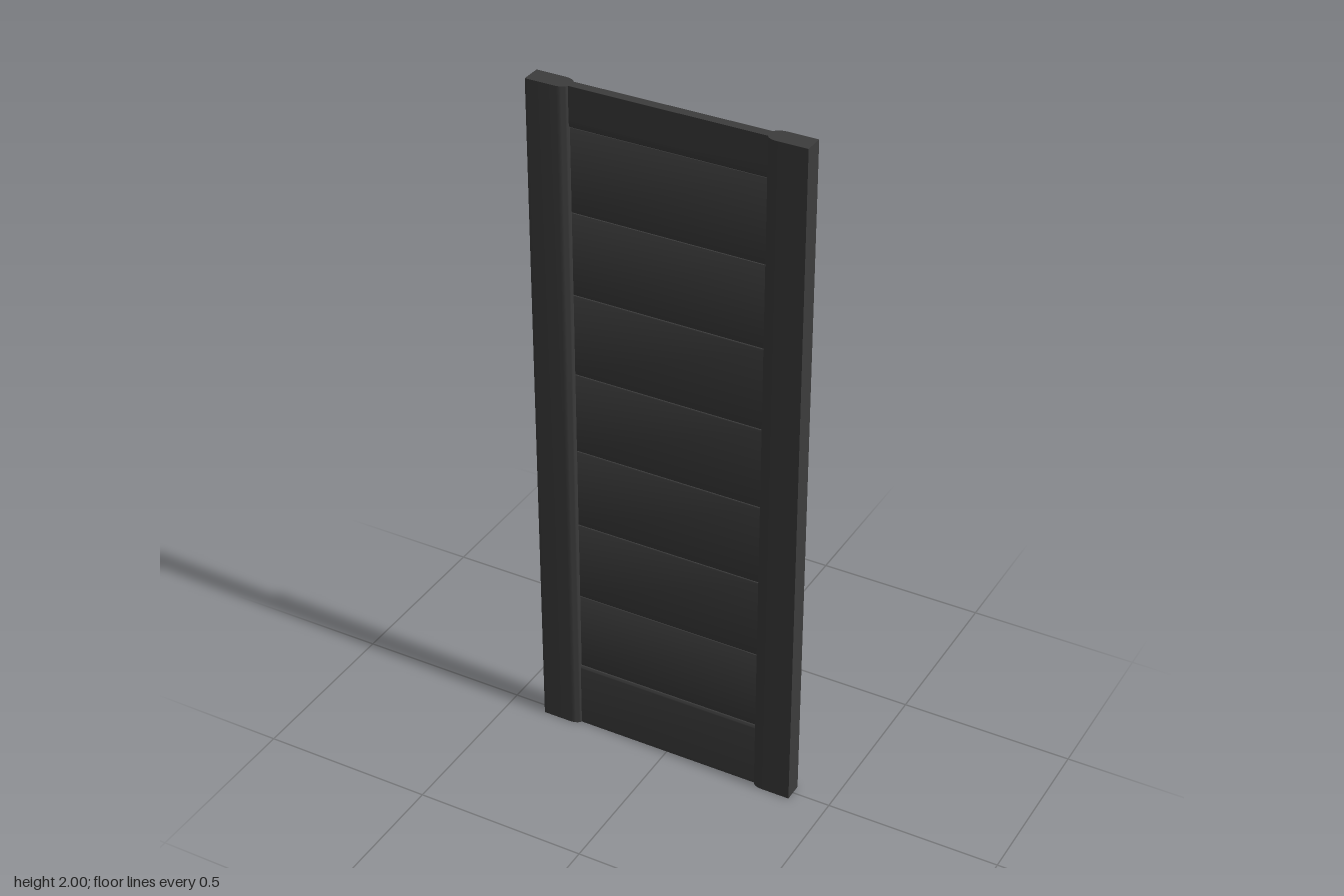
import * as THREE from 'three';
import { toCreasedNormals } from 'three/addons/utils/BufferGeometryUtils.js';

const paint = new THREE.MeshStandardMaterial({ color: 0x3c3c3c });

// Board section: thickness along x, width from y0 to y1. Each end may be eased:
// the faces curve in over `round` from half thickness `outer` down to `inner`.
function boardSection(y0, y1, outer, inner, round0, round1, steps) {
  const side = [];
  const ease = (end, dir, round) => {
    if (!round) return [[outer, end]];
    return Array.from({ length: steps + 1 }, (_, i) => {
      const a = (i / steps) * Math.PI / 2;
      return [inner + (outer - inner) * Math.cos(a), end - dir * round * (1 - Math.sin(a))];
    });
  };
  side.push(...ease(y0, -1, round0).reverse(), ...ease(y1, 1, round1));
  const mirrored = side.map(([x, y]) => [-x, y]).reverse();
  return new THREE.Shape([...side, ...mirrored].map(([x, y]) => new THREE.Vector2(x, y)));
}

function extrude(section, length) {
  return new THREE.ExtrudeGeometry(section, { depth: length, bevelEnabled: false });
}

function addMesh(group, name, geometry) {
  const mesh = new THREE.Mesh(toCreasedNormals(geometry, 0.6), paint);
  mesh.name = name;
  group.add(mesh);
  return mesh;
}

export function createModel() {
  const door = new THREE.Group();
  door.name = 'door';
  const height = 2, halfWidth = 0.39, inner = 0.275;

  // Upright stiles, eased along their inner edges
  for (const [name, turn] of [['leftStile', 0], ['rightStile', Math.PI]]) {
    const geo = extrude(boardSection(inner, halfWidth, 0.028, 0.01, 0.032, 0, 8), height);
    geo.rotateZ(-Math.PI / 2).rotateX(-Math.PI / 2);
    addMesh(door, name, geo).rotation.y = turn;
  }

  // Horizontal boards running between the stiles
  const crossBoard = (name, section) => {
    const geo = extrude(section, inner * 2 + 0.01);
    geo.rotateY(Math.PI / 2).translate(-inner - 0.005, 0, 0);
    addMesh(door, name, geo);
  };
  const bottom = 0.2, top = 1.885;
  crossBoard('bottomRail', boardSection(0, bottom, 0.0135, 0.007, 0, 0.02, 6));
  crossBoard('topRail', boardSection(top, height, 0.0135, 0.007, 0.02, 0, 6));

  // Planks with small eased edges that leave a groove at each joint
  const count = 7, step = (top - bottom) / count;
  for (let i = 0; i < count; i++) {
    const y = bottom + i * step;
    crossBoard('plank' + (i + 1), boardSection(y, y + step, 0.009, 0.005, 0.004, 0.004, 2));
  }
  return door;
}
